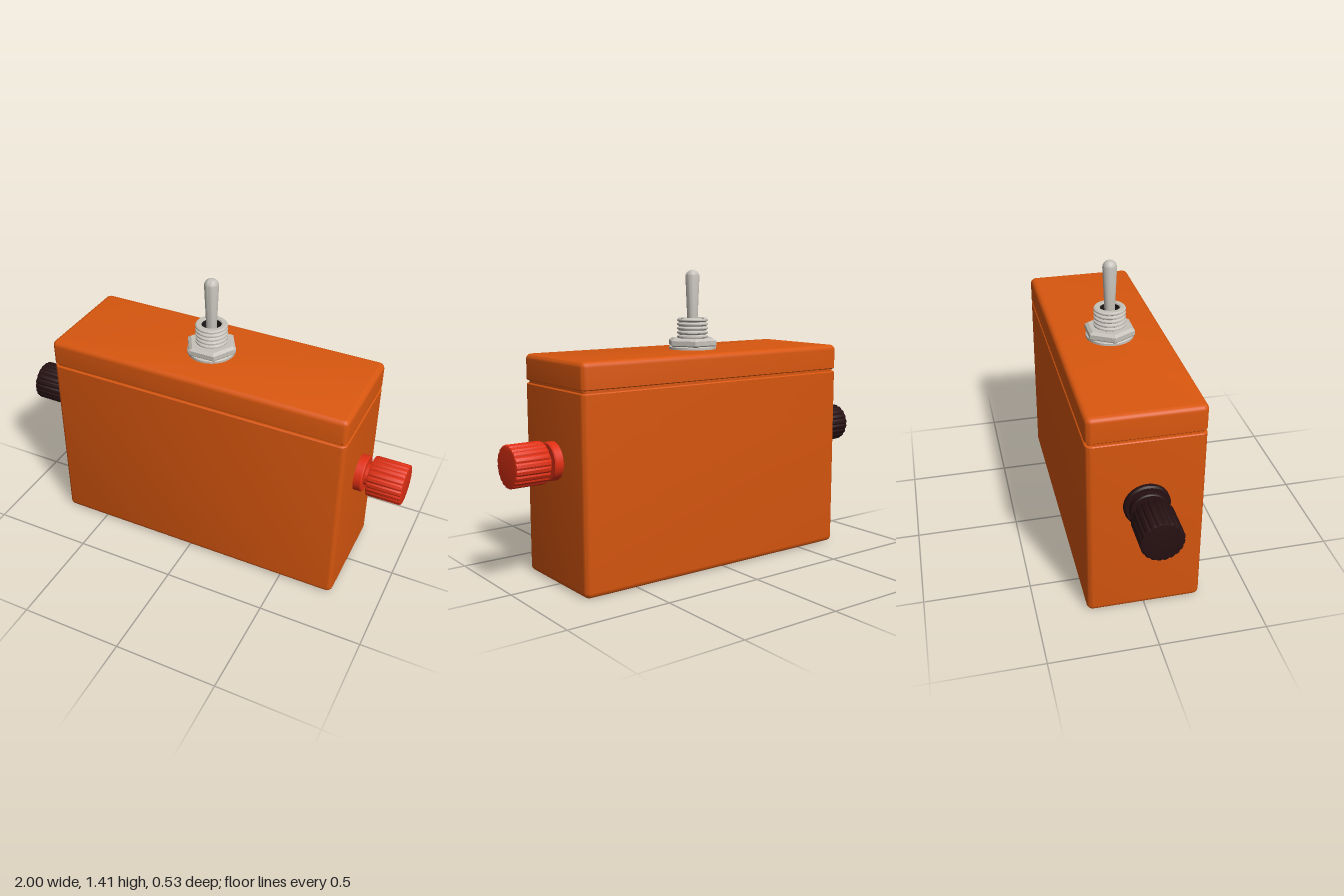
import * as THREE from 'three';
import { toCreasedNormals } from 'three/addons/utils/BufferGeometryUtils.js';

const material = (name, color) => new THREE.MeshStandardMaterial({ name, color });

function addMesh(parent, name, geometry, mat) {
  const mesh = new THREE.Mesh(geometry, mat);
  mesh.name = name;
  parent.add(mesh);
  return mesh;
}

// Turned part from [radius, height] pairs, listed bottom to top
function turned(profile, segments = 40, crease = 0.5) {
  const points = profile.map(([r, y]) => new THREE.Vector2(r, y));
  return toCreasedNormals(new THREE.LatheGeometry(points, segments), crease);
}

// Rounded-rectangle shell lofted through [height, inset] levels, capped at both ends
function roundedShell(halfX, halfZ, radius, levels) {
  const steps = 6, n = 4 * (steps + 1), positions = [], index = [];
  for (const [y, inset] of levels) {
    const r = Math.max(radius - inset, 0.004);
    for (let corner = 0; corner < 4; corner++) {
      const sx = corner === 0 || corner === 3 ? 1 : -1;
      const sz = corner < 2 ? -1 : 1;
      for (let s = 0; s <= steps; s++) {
        const a = (corner + s / steps) * Math.PI / 2;
        positions.push(sx * (halfX - inset - r) + r * Math.cos(a), y,
          sz * (halfZ - inset - r) - r * Math.sin(a));
      }
    }
  }
  for (let k = 0; k < levels.length - 1; k++) {
    for (let i = 0; i < n; i++) {
      const a = k * n + i, b = k * n + (i + 1) % n;
      index.push(a, b, a + n, b, b + n, a + n);
    }
  }
  const last = (levels.length - 1) * n;
  for (let i = 1; i < n - 1; i++) {
    index.push(0, i + 1, i, last, last + i, last + i + 1);
  }
  const geometry = new THREE.BufferGeometry();
  geometry.setAttribute('position', new THREE.Float32BufferAttribute(positions, 3));
  geometry.setIndex(index);
  return toCreasedNormals(geometry, 0.6);
}

// Quarter-round edge levels; direction 1 rounds a bottom edge, -1 a top edge
function edge(y, r, direction) {
  const levels = [];
  for (let i = 0; i <= 6; i++) {
    const a = i / 6 * Math.PI / 2;
    levels.push([y + direction * r * (1 - Math.cos(a)), r * (1 - Math.sin(a))]);
  }
  return direction > 0 ? levels : levels.reverse();
}

// Fluted grip, standing along y
function flutedKnob(radius, y0, y1) {
  const bevel = 0.007, flutes = 20, steps = 6, points = [];
  for (let i = 0; i < flutes * steps; i++) {
    const a = i / (flutes * steps) * Math.PI * 2;
    const groove = Math.pow(Math.abs(Math.cos(a * flutes / 2)), 6);
    const r = radius - bevel - 0.006 * groove;
    points.push(new THREE.Vector2(r * Math.cos(a), r * Math.sin(a)));
  }
  const geometry = new THREE.ExtrudeGeometry(new THREE.Shape(points), {
    depth: y1 - y0 - 2 * bevel, bevelEnabled: true,
    bevelSize: bevel, bevelThickness: bevel, bevelSegments: 2,
  });
  geometry.rotateX(-Math.PI / 2).translate(0, y0 + bevel, 0);
  return toCreasedNormals(geometry, 0.5);
}

export function createModel() {
  const orange = material('orange plastic', 0xd9570f);
  const red = material('red plastic', 0xe03014);
  const black = material('black plastic', 0x261012);
  const metal = material('nickel', 0xc6c2ba);
  const dark = material('dark recess', 0x1c1a18);

  const model = new THREE.Group();
  model.name = 'switchBox';

  // Case and lid, parted by a narrow groove
  const enclosure = new THREE.Group();
  enclosure.name = 'enclosure';
  enclosure.position.x = 0.02;
  model.add(enclosure);
  addMesh(enclosure, 'case', roundedShell(0.75, 0.267, 0.03,
    [...edge(0, 0.025, 1), [0.896, 0], [0.9, 0.004], [0.9, 0.012], [0.925, 0.012]]), orange);
  addMesh(enclosure, 'lid', roundedShell(0.75, 0.267, 0.03,
    [[0.913, 0.004], [0.917, 0], ...edge(1.035, 0.025, -1)]), orange);

  // Red terminal on the left end
  const redTerminal = new THREE.Group();
  redTerminal.name = 'redTerminal';
  redTerminal.position.set(0.77, 0.575, 0);
  redTerminal.rotation.z = -Math.PI / 2;
  model.add(redTerminal);
  addMesh(redTerminal, 'redCollar', turned([[0, -0.01], [0.088, -0.01], [0.088, 0.034],
    [0.083, 0.04], [0.052, 0.04], [0.052, 0.07], [0, 0.07]]), red);
  addMesh(redTerminal, 'redKnob', flutedKnob(0.097, 0.062, 0.23), red);

  // Black terminal on the right end, unscrewed to show its post
  const blackTerminal = new THREE.Group();
  blackTerminal.name = 'blackTerminal';
  blackTerminal.position.set(-0.73, 0.575, 0);
  blackTerminal.rotation.z = Math.PI / 2;
  model.add(blackTerminal);
  addMesh(blackTerminal, 'blackCollar', turned([[0, -0.01], [0.105, -0.01], [0.105, 0.016],
    [0.098, 0.024], [0.085, 0.024], [0.085, 0.05], [0.08, 0.056], [0, 0.056]]), black);
  addMesh(blackTerminal, 'terminalPost', turned([[0, 0.05], [0.045, 0.05], [0.045, 0.076],
    [0.03, 0.076], [0.03, 0.11], [0, 0.11]]), metal);
  addMesh(blackTerminal, 'blackKnobNeck', turned([[0, 0.078], [0.052, 0.078],
    [0.052, 0.105], [0, 0.105]]), black);
  addMesh(blackTerminal, 'blackKnob', flutedKnob(0.097, 0.098, 0.27), black);

  // Toggle switch on the lid
  const toggle = new THREE.Group();
  toggle.name = 'toggleSwitch';
  toggle.position.set(-0.003, 1.03, 0);
  model.add(toggle);
  addMesh(toggle, 'washer', turned([[0, 0], [0.115, 0], [0.115, 0.016], [0.11, 0.02], [0, 0.02]]), metal);

  const nut = addMesh(toggle, 'hexNut', turned([[0, 0.018], [0.117, 0.018], [0.125, 0.025],
    [0.125, 0.047], [0.108, 0.058], [0, 0.058]], 6, 0.1), metal);
  nut.rotation.y = Math.PI / 6;

  // Threaded bushing with an open mouth
  const threads = [[0.066, 0.05]];
  for (let i = 0; i < 5; i++) {
    const y = 0.056 + i * 0.02;
    threads.push([0.066, y], [0.076, y + 0.006], [0.076, y + 0.012], [0.066, y + 0.018]);
  }
  threads.push([0.07, 0.155], [0.05, 0.155], [0.046, 0.149]);
  addMesh(toggle, 'bushing', turned(threads), metal);
  addMesh(toggle, 'bushingBore', turned([[0.046, 0.149], [0.046, 0.11], [0, 0.11]]), dark);

  // Lever, thicker toward its rounded tip
  const lever = [[0, 0.1], [0.025, 0.1], [0.025, 0.14]];
  for (let i = 0; i <= 8; i++) {
    const a = i / 8 * Math.PI / 2;
    lever.push([0.034 * Math.cos(a), 0.351 + 0.034 * Math.sin(a)]);
  }
  addMesh(toggle, 'lever', turned(lever, 32), metal);

  return model;
}
